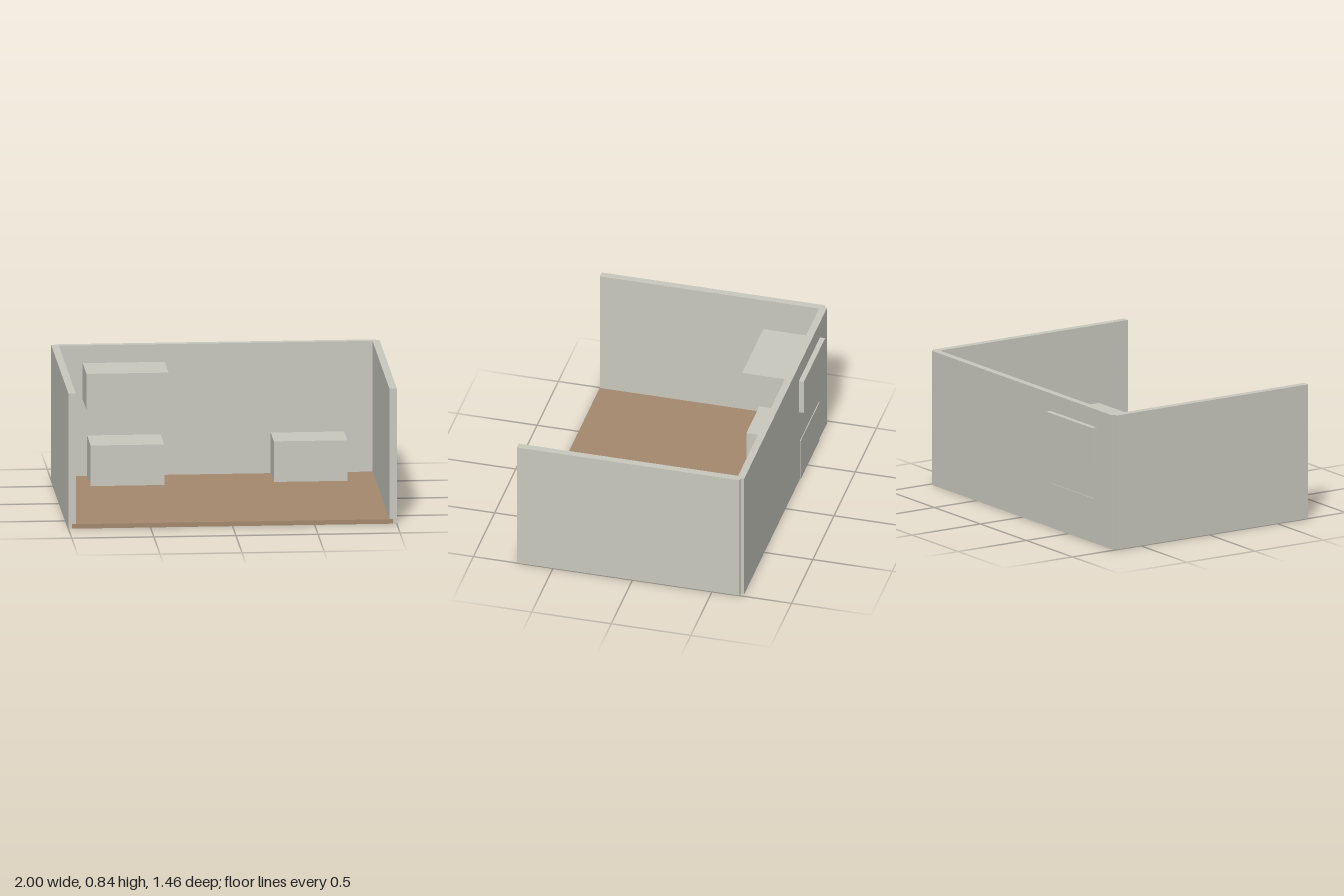
import * as THREE from 'three';

export function createModel() {
  const model = new THREE.Group();
  model.name = 'openRoom';

  const plaster = new THREE.MeshStandardMaterial({ color: 0xc8c8be });
  plaster.name = 'pale grey plaster';
  const wood = new THREE.MeshStandardMaterial({ color: 0xa3886d });
  wood.name = 'brown floor';

  // Box given by its extents along each axis
  function addBox(name, material, [x0, x1], [y0, y1], [z0, z1]) {
    const mesh = new THREE.Mesh(new THREE.BoxGeometry(x1 - x0, y1 - y0, z1 - z0), material);
    mesh.position.set((x0 + x1) / 2, (y0 + y1) / 2, (z0 + z1) / 2);
    mesh.name = name;
    model.add(mesh);
  }

  // Floor slab, a hair proud of the wall ends and undersides
  addBox('floor', wood, [-0.978, 0.978], [0, 0.028], [-0.674, 0.728]);

  // Walls: two sides and the back, open at the front
  addBox('leftWall', plaster, [0.955, 1], [0.001, 0.84], [-0.674, 0.727]);
  addBox('rightWall', plaster, [-1, -0.955], [0.001, 0.84], [-0.674, 0.727]);
  addBox('backWall', plaster, [-0.978, 0.978], [0.001, 0.84], [-0.696, -0.652]);

  // Wall cabinet, passing through the back wall
  addBox('wallCabinet', plaster, [-0.81, -0.31], [0.505, 0.73], [-0.728, -0.34]);

  // Floor cabinets against the back wall
  addBox('rightFloorCabinet', plaster, [-0.783, -0.335], [0.002, 0.28], [-0.701, -0.36]);
  addBox('leftFloorCabinet', plaster, [0.335, 0.783], [0.002, 0.28], [-0.69, -0.397]);

  return model;
}
